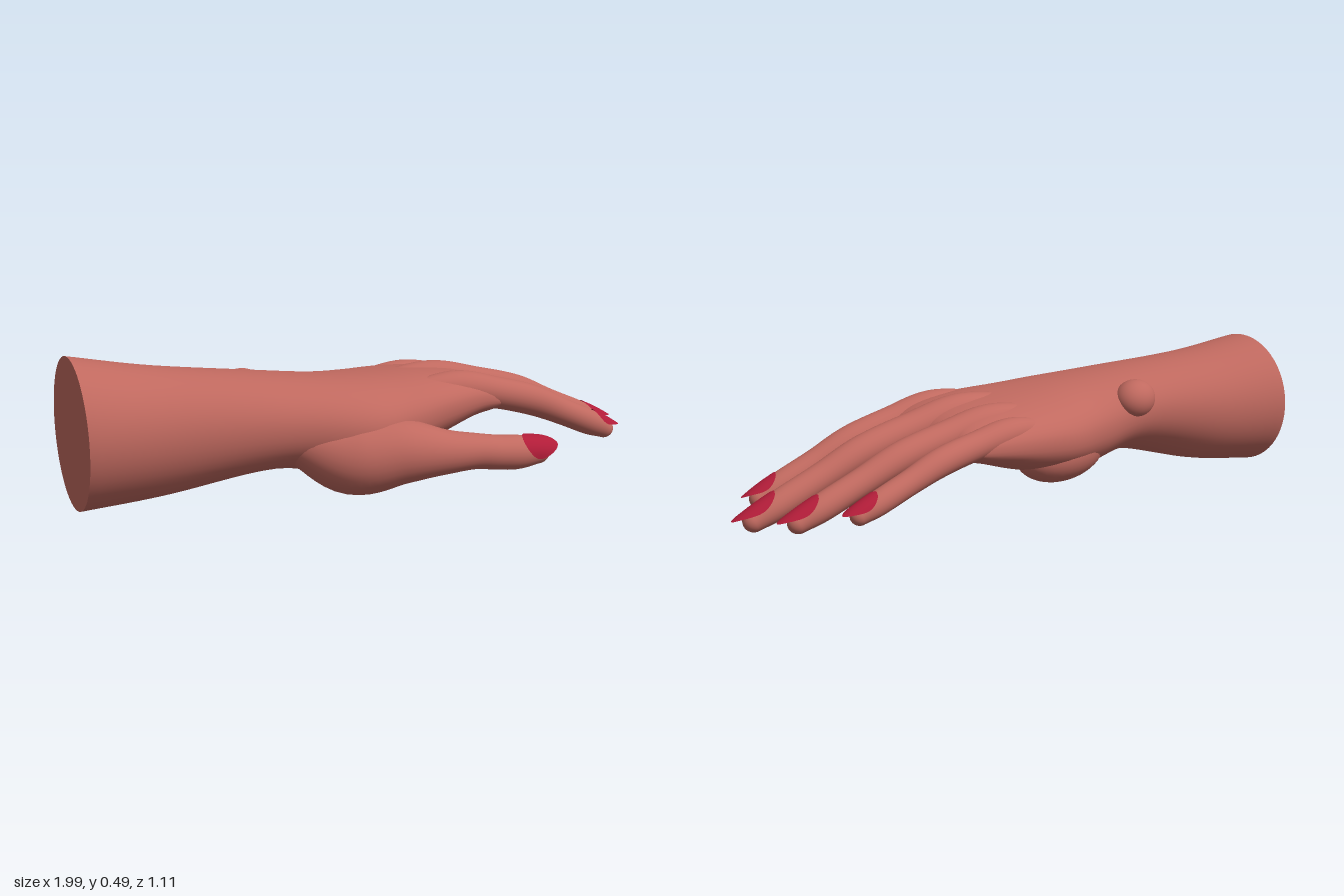
import * as THREE from 'three';

const skin = new THREE.MeshStandardMaterial({ color: 0xc0695f });
skin.name = 'skin';
const polish = new THREE.MeshStandardMaterial({ color: 0xb01c38, side: THREE.DoubleSide });
polish.name = 'nail polish';

const V = (x, y, z) => new THREE.Vector3(x, y, z);
const spline = (points) => new THREE.CatmullRomCurve3(points, false, 'catmullrom', 0.5);

// Smooth surface through rings (or rows) of points
function loft(rows, closed = true) {
  const n = rows[0].length, index = [];
  for (let i = 0; i < rows.length - 1; i++) {
    for (let j = 0; j < (closed ? n : n - 1); j++) {
      const k = (j + 1) % n, a = i * n + j, b = i * n + k, c = a + n, d = b + n;
      index.push(a, c, b, b, c, d);
    }
  }
  const geo = new THREE.BufferGeometry().setFromPoints(rows.flat());
  geo.setIndex(index);
  geo.computeVertexNormals();
  return geo;
}

function addMesh(parent, name, geo, material) {
  const mesh = new THREE.Mesh(geo, material);
  mesh.name = name;
  parent.add(mesh);
  return mesh;
}

// Side (s) and upward (n) directions across a digit heading along t
function frame(t, roll = 0) {
  const s = t.clone().cross(V(0, 1, 0)).normalize();
  const n = s.clone().cross(t);
  return { s: s.clone().applyAxisAngle(t, roll), n: n.applyAxisAngle(t, roll) };
}

// Forearm, wrist and palm: back edge x y z, front edge x y z, height above, height below
const stations = [
  [-0.87, 0.245, -0.55, -1.0, 0.245, -0.1, 0.245, 0.245],
  [-0.66, 0.245, -0.43, -0.75, 0.24, 0.01, 0.205, 0.21],
  [-0.39, 0.27, -0.27, -0.45, 0.25, 0.19, 0.155, 0.155],
  [-0.2, 0.24, -0.21, -0.24, 0.23, 0.32, 0.16, 0.165],
  [-0.05, 0.235, -0.205, -0.08, 0.25, 0.35, 0.145, 0.145],
  [0.1, 0.25, -0.185, 0.06, 0.275, 0.365, 0.122, 0.13],
  [0.25, 0.26, -0.145, 0.22, 0.285, 0.37, 0.1, 0.085],
  [0.35, 0.265, -0.1, 0.32, 0.275, 0.375, 0.07, 0.05],
  [0.4, 0.27, -0.06, 0.385, 0.27, 0.36, 0.008, 0.008],
];

function bodyRings() {
  const back = spline(stations.map((p) => V(p[0], p[1], p[2])));
  const front = spline(stations.map((p) => V(p[3], p[4], p[5])));
  const height = spline(stations.map((p) => V(p[6], p[7], 0)));
  const power = (v, p) => Math.sign(v) * Math.abs(v) ** p;
  const rings = [], count = 60, sides = 56;
  for (let i = 0; i <= count; i++) {
    const u = i / count, a = back.getPoint(u), b = front.getPoint(u), h = height.getPoint(u);
    // Round at the forearm, squarer towards the knuckles
    const square = 1 - 0.2 * u;
    rings.push(Array.from({ length: sides }, (_, j) => {
      const angle = (j / sides) * Math.PI * 2;
      const p = a.clone().lerp(b, (power(Math.cos(angle), square) + 1) / 2);
      const up = power(Math.sin(angle), square);
      p.y += up * (up > 0 ? h.x : h.y);
      return p;
    }));
  }
  return rings;
}

// Shared finger shape: position from knuckle to tip, arch over length, width over knuckle width
const fingerShape = [
  [-0.28, -0.09, 0.6], [0, 0, 1], [0.25, 0.035, 0.92], [0.49, 0.05, 0.9],
  [0.69, 0.032, 0.79], [0.89, 0.012, 0.76], [1, 0, 0.59],
];
const fingers = [
  { name: 'indexFinger', knuckle: V(0.18, 0.325, 0.285), tip: V(0.79, 0.115, 0.468), radius: 0.06, roll: 0.15 },
  { name: 'middleFinger', knuckle: V(0.2, 0.338, 0.14), tip: V(0.92, 0.105, 0.338), radius: 0.06, roll: 0.05 },
  { name: 'ringFinger', knuckle: V(0.2, 0.325, 0.005), tip: V(0.88, 0.122, 0.18), radius: 0.057, roll: 0 },
  { name: 'littleFinger', knuckle: V(0.2, 0.3, -0.09), tip: V(0.78, 0.152, 0.02), radius: 0.051, roll: -0.1 },
];

// Centre points and radii of a finger
function fingerPath({ knuckle, tip, radius }) {
  const length = tip.x - knuckle.x;
  return fingerShape.map(([f, arch, width]) => {
    const p = knuckle.clone().lerp(tip, f);
    p.y += arch * length;
    return { p, r: radius * width };
  });
}

// The thumb, rising out of the ball of the palm
const thumbPath = [
  [-0.4, 0.22, 0.11, 0.07], [-0.25, 0.155, 0.215, 0.125], [-0.12, 0.165, 0.32, 0.108], [0, 0.155, 0.395, 0.075],
  [0.1, 0.148, 0.438, 0.06], [0.18, 0.135, 0.465, 0.058], [0.26, 0.125, 0.487, 0.058], [0.35, 0.117, 0.503, 0.045],
].map(([x, y, z, r]) => ({ p: V(x, y, z), r }));

function digitGeometry(path) {
  const centre = spline(path.map(({ p }) => p));
  const width = spline(path.map(({ r }) => V(r, 0, 0)));
  const rings = [], sides = 28, count = 48, cap = 8;
  const addRing = (p, t, r) => {
    const { s, n } = frame(t);
    rings.push(Array.from({ length: sides }, (_, j) => {
      const angle = (j / sides) * Math.PI * 2;
      return p.clone().addScaledVector(s, r * Math.cos(angle)).addScaledVector(n, r * Math.sin(angle));
    }));
  };
  for (let i = 0; i <= count; i++) {
    addRing(centre.getPoint(i / count), centre.getTangent(i / count), width.getPoint(i / count).x);
  }
  // Rounded fingertip
  const end = centre.getPoint(1), t = centre.getTangent(1), r = path.at(-1).r;
  for (let i = 1; i <= cap; i++) {
    const a = (i / cap) * Math.PI / 2;
    addRing(end.clone().addScaledVector(t, r * Math.sin(a)), t, Math.max(r * Math.cos(a), 0.0004));
  }
  return loft(rings);
}

// Almond nail curved over the fingertip, starting at the second last path point
function nailGeometry(path, roll, length) {
  const { p: base, r } = path.at(-2);
  const t = spline(path.map(({ p }) => p)).getTangent((path.length - 2) / (path.length - 1));
  const { s, n } = frame(t, roll);
  const radius = r * 1.06, rows = [], steps = 18, across = 12;
  for (let i = 0; i <= steps; i++) {
    const x = i / steps;
    const w = 0.9 * r * Math.sin(Math.PI * (0.01 + 0.98 * x ** 0.8)) ** 0.6;
    rows.push(Array.from({ length: across + 1 }, (_, j) => {
      const q = w * (1 - (2 * j) / across);
      const lift = Math.sqrt(radius ** 2 - q ** 2) - 0.25 * radius * x * x;
      return base.clone().addScaledVector(t, (x - 0.05) * length).addScaledVector(s, q).addScaledVector(n, lift);
    }));
  }
  return loft(rows, false);
}

function addDigit(hand, name, path, roll, nailLength) {
  const digit = new THREE.Group();
  digit.name = name;
  addMesh(digit, name + 'Skin', digitGeometry(path), skin);
  addMesh(digit, name + 'Nail', nailGeometry(path, roll, nailLength), polish);
  hand.add(digit);
}

function addBulge(hand, name, position, radii) {
  const bulge = addMesh(hand, name, new THREE.SphereGeometry(1, 32, 20), skin);
  bulge.position.copy(position);
  bulge.scale.copy(radii);
}

export function createModel() {
  const hand = new THREE.Group();
  hand.name = 'hand';

  const rings = bodyRings();
  addMesh(hand, 'forearmAndPalm', loft(rings), skin);

  // Flat end of the forearm
  const middle = rings[0].reduce((sum, p) => sum.add(p), V(0, 0, 0)).divideScalar(rings[0].length);
  addMesh(hand, 'forearmEnd', loft([rings[0].map(() => middle), rings[0]]), skin);

  addBulge(hand, 'heelOfHand', V(-0.1, 0.175, -0.07), V(0.21, 0.11, 0.12));
  addBulge(hand, 'wristBone', V(-0.36, 0.325, -0.205), V(0.085, 0.07, 0.07));

  for (const finger of fingers) {
    const length = 0.22 * (finger.tip.x - finger.knuckle.x);
    addDigit(hand, finger.name, fingerPath(finger), finger.roll, length);
  }
  addDigit(hand, 'thumb', thumbPath, 0.75, 0.155);
  return hand;
}
